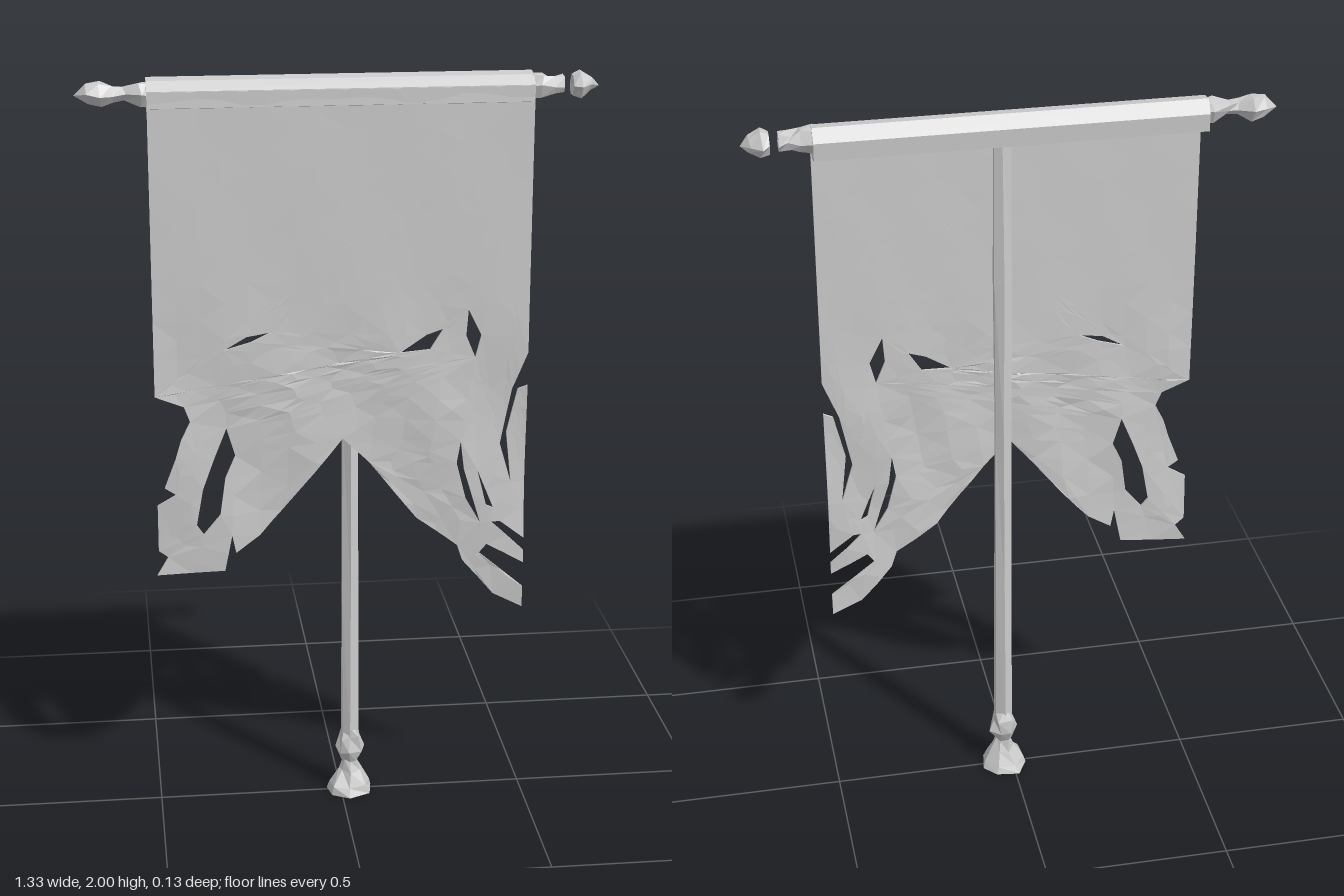
import * as THREE from 'three';
import { mergeVertices } from 'three/addons/utils/BufferGeometryUtils.js';

const material = new THREE.MeshStandardMaterial({ color: 0xcccccc, flatShading: true, side: THREE.DoubleSide });
const toPoints = (list) => list.map(([x, y]) => new THREE.Vector2(x, y));

function seeded(seed) {
  let s = seed * 7919 + 17;
  return () => (s = (s * 16807) % 2147483647) / 2147483647;
}

// Faceted, roughly hewn turned piece; profile is [radius, height] from bottom to top
function hewn(profile, sides, jitter, seed) {
  let geo = new THREE.LatheGeometry(toPoints(profile), sides);
  geo.deleteAttribute('normal');
  geo.deleteAttribute('uv');
  geo = mergeVertices(geo, 1e-4);
  const rnd = seeded(seed);
  const p = geo.attributes.position;
  const top = profile[profile.length - 1][1];
  for (let i = 0; i < p.count; i++) {
    const y = p.getY(i);
    const dx = (rnd() - 0.5) * jitter, dy = (rnd() - 0.5) * jitter, dz = (rnd() - 0.5) * jitter;
    const isEnd = y < 1e-4 || y > top - 1e-4;
    p.setXYZ(i, p.getX(i) + dx, isEnd ? y : y + dy, p.getZ(i) + dz);
  }
  geo.computeVertexNormals();
  return geo;
}

// Split long edges at their midpoints so a flat sheet can be wrinkled
function subdivide(geo, maxLength) {
  const src = (geo.index ? geo.toNonIndexed() : geo).attributes.position;
  const out = [];
  const split = (a, b, c) => {
    const ab = a.distanceTo(b), bc = b.distanceTo(c), ca = c.distanceTo(a);
    const longest = Math.max(ab, bc, ca);
    if (longest <= maxLength) {
      for (const v of [a, b, c]) out.push(v.x, v.y, v.z);
      return;
    }
    if (longest === bc) [a, b, c] = [b, c, a];
    else if (longest === ca) [a, b, c] = [c, a, b];
    const m = a.clone().add(b).multiplyScalar(0.5);
    split(a, m, c);
    split(m, b, c);
  };
  const at = (i) => new THREE.Vector3().fromBufferAttribute(src, i);
  for (let i = 0; i < src.count; i += 3) split(at(i), at(i + 1), at(i + 2));
  const result = new THREE.BufferGeometry();
  result.setAttribute('position', new THREE.Float32BufferAttribute(out, 3));
  return result;
}

function clothGeometry() {
  // Torn outline, from the top left corner down and around to the top right
  const shape = new THREE.Shape(toPoints([
    [-0.49, 1.97], [-0.49, 1.18], [-0.415, 1.15], [-0.4, 1.11], [-0.425, 1.06], [-0.44, 1.01],
    [-0.47, 0.93], [-0.44, 0.91], [-0.49, 0.88], [-0.49, 0.75], [-0.465, 0.73], [-0.495, 0.68],
    [-0.315, 0.69], [-0.295, 0.79], [-0.285, 0.74], [-0.22, 0.785], [-0.15, 0.865], [0, 1.05],
    [0.07, 0.98], [0.2, 0.815], [0.31, 0.735], [0.325, 0.69], [0.41, 0.59], [0.49, 0.55],
    [0.49, 0.61], [0.37, 0.71], [0.39, 0.735], [0.49, 0.68], [0.49, 0.715], [0.4, 0.8],
    [0.425, 0.8], [0.49, 0.75], [0.49, 1.18], [0.465, 1.17], [0.437, 1.05], [0.452, 0.91],
    [0.42, 1.02], [0.45, 1.17], [0.49, 1.27], [0.49, 1.97],
  ]));
  // Rips and slits
  const holes = [
    [[-0.31, 1.3], [-0.25, 1.335], [-0.185, 1.345], [-0.24, 1.32]],
    [[0.15, 1.28], [0.22, 1.325], [0.265, 1.34], [0.23, 1.285]],
    [[0.33, 1.39], [0.365, 1.32], [0.35, 1.26], [0.325, 1.32]],
    [[-0.305, 1.085], [-0.283, 1.01], [-0.31, 0.95], [-0.325, 0.85], [-0.37, 0.795], [-0.388, 0.82], [-0.37, 0.92], [-0.34, 1]],
    [[0.315, 1.03], [0.325, 0.95], [0.37, 0.8], [0.33, 0.87], [0.305, 0.97]],
    [[0.36, 0.95], [0.405, 0.84], [0.385, 0.85]],
  ];
  shape.holes = holes.map((h) => new THREE.Path(toPoints(h)));
  const geo = subdivide(new THREE.ExtrudeGeometry(shape, { depth: 0.006, bevelEnabled: false }), 0.1);
  // Wrinkles grow toward the ragged hem
  const p = geo.attributes.position;
  for (let i = 0; i < p.count; i++) {
    const x = p.getX(i), y = p.getY(i);
    const amount = 0.001 + 0.008 * THREE.MathUtils.smoothstep(1.5 - y, 0, 0.4);
    const wave = 0.6 * Math.sin(17 * x + 9 * y) + 0.4 * Math.sin(13 * y - 29 * x + 1);
    p.setZ(i, p.getZ(i) + 0.038 + amount * wave);
  }
  geo.computeVertexNormals();
  return geo;
}

export function createModel() {
  const group = new THREE.Group();
  const add = (name, geo, x = 0, y = 0, z = 0) => {
    const mesh = new THREE.Mesh(geo, material);
    mesh.name = name;
    mesh.position.set(x, y, z);
    group.add(mesh);
  };

  // Upright pole with a flared, knobbed foot
  add('pole', hewn([[0.025, 0], [0.026, 0.45], [0.024, 0.95], [0.026, 1.4], [0.024, 1.8]], 6, 0.005, 3), 0.025, 0.14);
  add('foot', hewn([[0, 0], [0.066, 0], [0.056, 0.025], [0.03, 0.06], [0.022, 0.09], [0.038, 0.125],
    [0.034, 0.165], [0.024, 0.19]], 7, 0.012, 5), 0.025);

  // Hem of the cloth wrapped around the crossbar; section is [-z, y]
  const section = new THREE.Shape(toPoints([
    [-0.045, 1.93], [-0.042, 1.972], [-0.018, 1.995], [0.018, 2], [0.042, 1.968], [0.04, 1.922], [0.01, 1.915], [-0.03, 1.92],
  ]));
  const sleeve = new THREE.ExtrudeGeometry(section, { depth: 0.98, bevelEnabled: false });
  sleeve.rotateY(Math.PI / 2);
  add('crossbarSleeve', sleeve, -0.49);

  add('cloth', clothGeometry());

  // Whole finial on the right end, snapped one on the left end
  const finial = hewn([[0, 0], [0.032, 0], [0.033, 0.02], [0.018, 0.06], [0.02, 0.085], [0.036, 0.12],
    [0.028, 0.15], [0, 0.185]], 6, 0.012, 8);
  add('rightFinial', finial.rotateZ(Math.PI / 2), -0.485, 1.963);
  const stub = hewn([[0, 0], [0.032, 0], [0.03, 0.03], [0.022, 0.06], [0.024, 0.085], [0, 0.075]], 6, 0.012, 11);
  add('leftFinialStub', stub.rotateZ(-Math.PI / 2), 0.485, 1.963);
  const tip = hewn([[0, 0.008], [0.026, 0], [0.037, 0.02], [0.02, 0.048], [0, 0.07]], 6, 0.008, 13);
  add('leftFinialTip', tip.rotateZ(-Math.PI / 2), 0.592, 1.963);

  return group;
}
